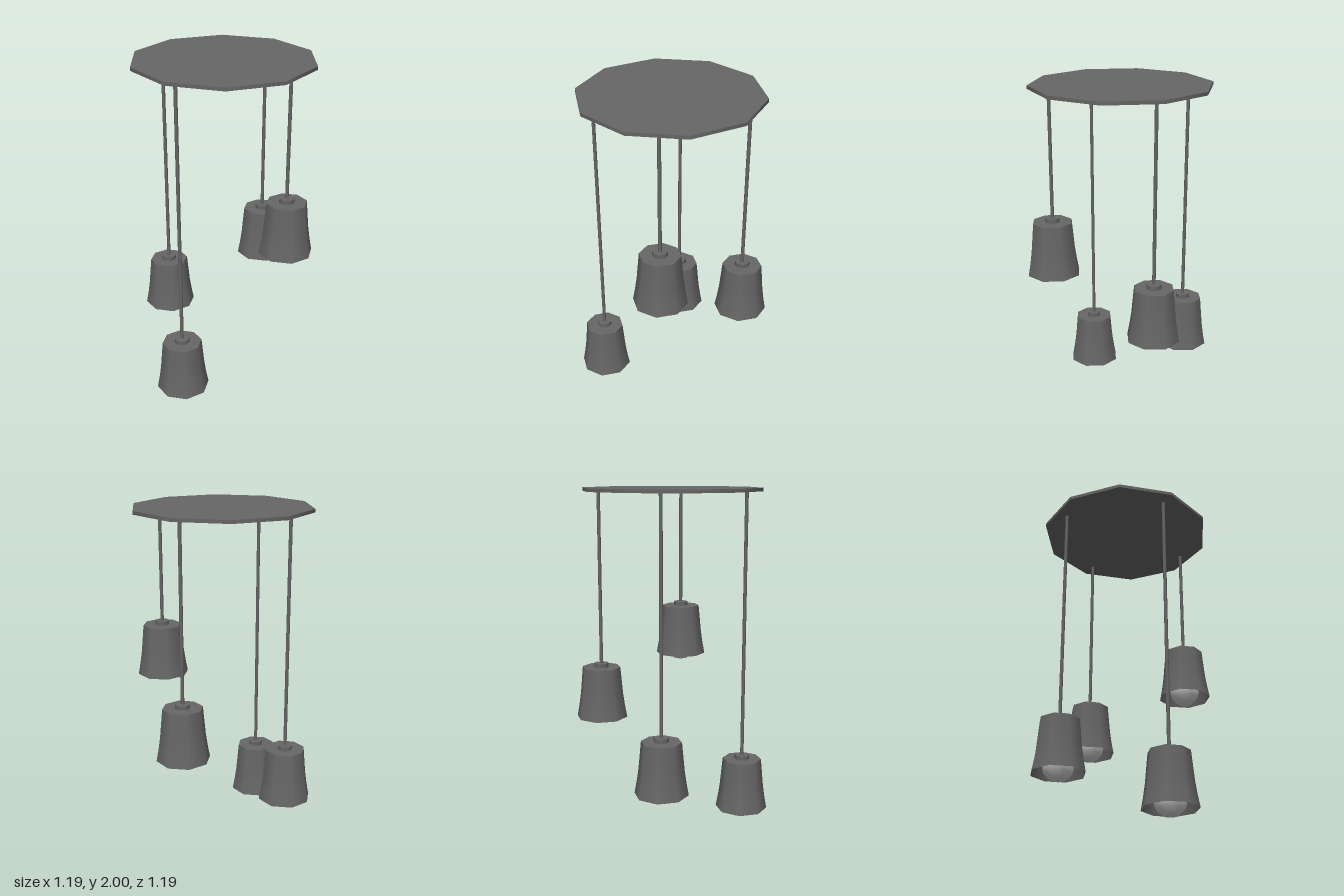
import * as THREE from 'three';

const metal = new THREE.MeshStandardMaterial({ color: 0x666666, side: THREE.DoubleSide });
const glass = new THREE.MeshStandardMaterial({ color: 0xcccccc });

const PLATE_BOTTOM = 1.98;

function part(parent, name, geometry, material, y) {
  const mesh = new THREE.Mesh(geometry, material);
  mesh.name = name;
  mesh.position.y = y;
  parent.add(mesh);
  return mesh;
}

// One hanging lamp; its bulb touches y = 0 of the group
function createPendant(drop) {
  const pendant = new THREE.Group();

  // Flared eight-sided shade, open at the bottom
  const profile = [[0.158, 0.045], [0.145, 0.115], [0.134, 0.19], [0.126, 0.275], [0.118, 0.36]]
    .map(([r, y]) => new THREE.Vector2(r, y));
  part(pendant, 'shade', new THREE.LatheGeometry(profile, 8), metal, 0);
  const top = new THREE.CircleGeometry(0.118, 8).rotateX(-Math.PI / 2);
  part(pendant, 'shadeTop', top, metal, 0.36);

  // Cap above the shade and socket below its top
  part(pendant, 'cap', new THREE.CylinderGeometry(0.044, 0.044, 0.025, 8), metal, 0.3725);
  part(pendant, 'socket', new THREE.CylinderGeometry(0.04, 0.04, 0.2, 8), metal, 0.26);

  // Round bulb
  part(pendant, 'bulb', new THREE.SphereGeometry(0.091, 12, 6), glass, 0.091);

  // Cord up to the ceiling plate
  const length = drop - 0.38;
  part(pendant, 'cord', new THREE.CylinderGeometry(0.0105, 0.0105, length, 8), metal, 0.38 + length / 2);
  return pendant;
}

export function createModel() {
  const model = new THREE.Group();
  model.name = 'pendantLamp';

  // Ten-sided ceiling plate
  part(model, 'ceilingPlate', new THREE.CylinderGeometry(0.53, 0.53, 0.02, 10), metal, 1.99);

  // Four lamps around the plate, rising step by step: front, right, back, left
  const R = 0.437;
  [0, 0.235, 0.555, 0.88].forEach((y, i) => {
    const angle = i * Math.PI / 2;
    const pendant = createPendant(PLATE_BOTTOM - y);
    pendant.name = 'pendant' + ['Front', 'Right', 'Back', 'Left'][i];
    pendant.position.set(-R * Math.sin(angle), y, R * Math.cos(angle));
    model.add(pendant);
  });
  return model;
}
